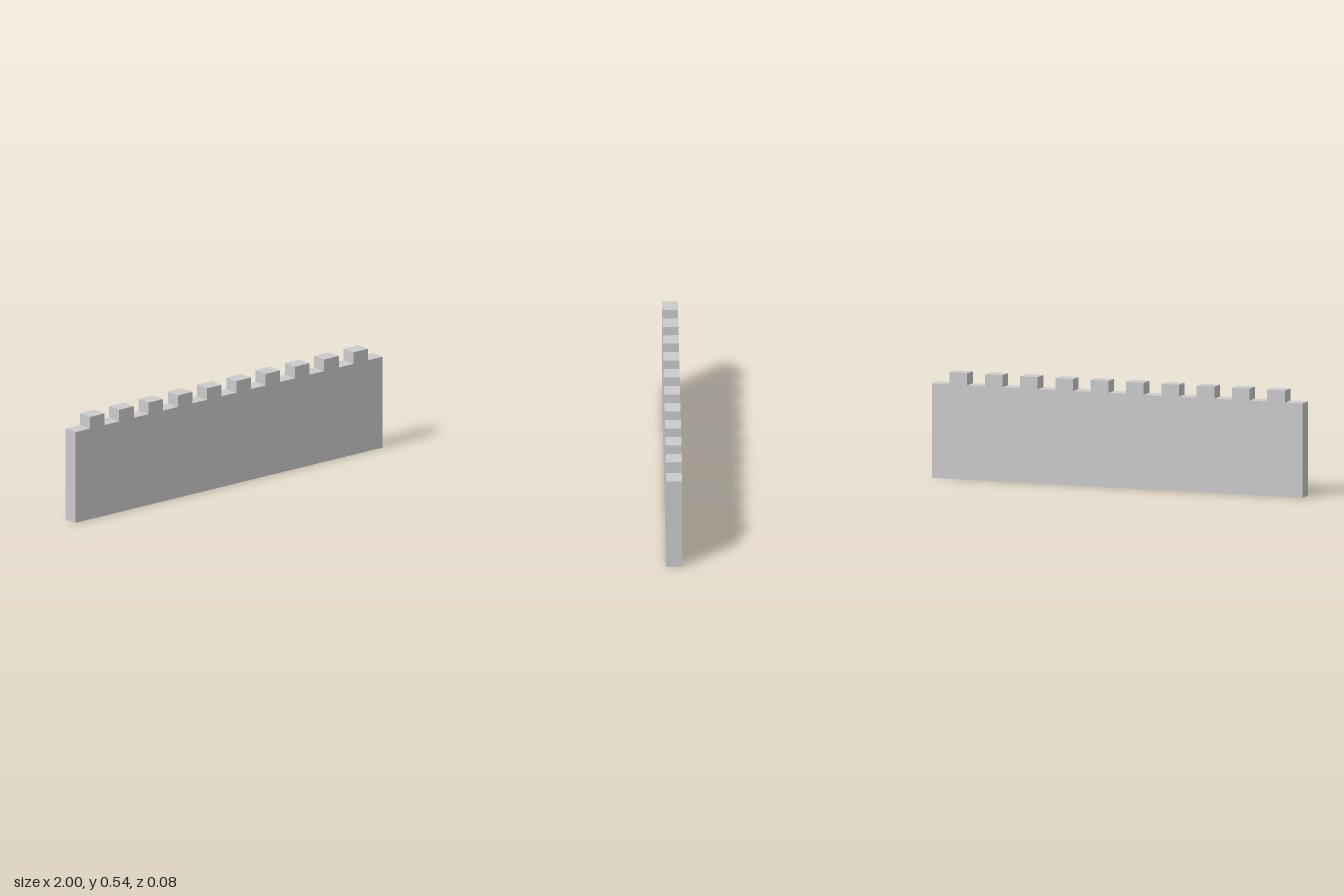
import * as THREE from 'three';

export function createModel() {
  const group = new THREE.Group();
  group.name = 'battlementWall';

  const wallTop = 0.48, merlonTop = 0.541, depth = 0.08;
  const merlons = 10;
  const step = 2 / (2 * merlons + 1); // merlons and gaps share one width

  // Wall outline: flat base, crenellated top traced from right to left
  const outline = new THREE.Shape();
  outline.moveTo(-1, 0);
  outline.lineTo(1, 0);
  outline.lineTo(1, wallTop);
  for (let i = 0; i < merlons; i++) {
    const right = 1 - (2 * i + 1) * step;
    const left = right - step;
    outline.lineTo(right, wallTop);
    outline.lineTo(right, merlonTop);
    outline.lineTo(left, merlonTop);
    outline.lineTo(left, wallTop);
  }
  outline.lineTo(-1, wallTop);
  outline.closePath();

  const geometry = new THREE.ExtrudeGeometry(outline, { depth, bevelEnabled: false });
  geometry.translate(0, 0, -depth / 2);

  const wall = new THREE.Mesh(
    geometry,
    new THREE.MeshStandardMaterial({ color: 0xcccccc, flatShading: true })
  );
  wall.name = 'crenellatedWall';
  group.add(wall);
  return group;
}
